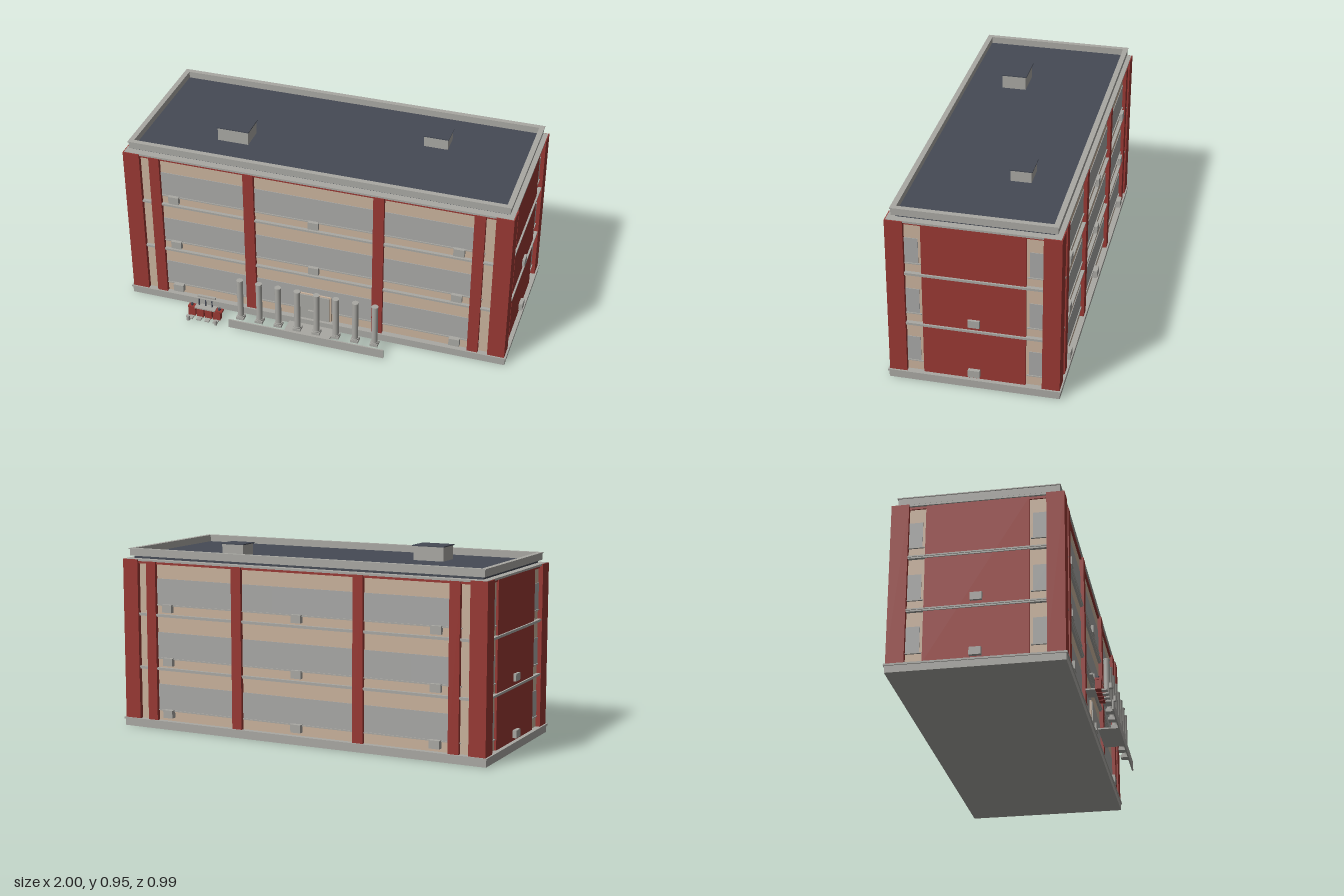
import * as THREE from 'three';

const mat = (name, color) => {
  const m = new THREE.MeshStandardMaterial({ color });
  m.name = name;
  return m;
};

export function createModel() {
  const brick = mat('brick red', 0x983833);
  const stucco = mat('tan stucco', 0xc9b29c);
  const stone = mat('grey stone', 0xa9a8a3);
  const glass = mat('window grey', 0xa8a8a6);
  const slate = mat('dark slate', 0x454a55);

  const model = new THREE.Group();
  model.name = 'building';
  const CZ = -0.08; // centre of the block in z

  // Box given by its min and max on each axis
  const box = (name, m, x0, x1, y0, y1, z0, z1, parent = model) => {
    const mesh = new THREE.Mesh(new THREE.BoxGeometry(x1 - x0, y1 - y0, z1 - z0), m);
    mesh.position.set((x0 + x1) / 2, (y0 + y1) / 2, (z0 + z1) / 2);
    mesh.name = name;
    parent.add(mesh);
    return mesh;
  };
  const cyl = (name, m, r, x, y0, y1, z, parent = model) => {
    const mesh = new THREE.Mesh(new THREE.CylinderGeometry(r, r, y1 - y0, 20), m);
    mesh.position.set(x, (y0 + y1) / 2, z);
    mesh.name = name;
    parent.add(mesh);
    return mesh;
  };

  // Plinth and main walls
  box('plinth', stone, -0.995, 0.995, 0, 0.034, CZ - 0.412, CZ + 0.412);
  box('plinthCap', stone, -1, 1, 0.034, 0.043, CZ - 0.417, CZ + 0.417);
  box('walls', stucco, -0.968, 0.968, 0.043, 0.855, CZ - 0.388, CZ + 0.388);

  // Corner pillars
  for (const sx of [-1, 1]) for (const sz of [-1, 1]) {
    const x = sx * 0.948, z = CZ + sz * 0.3675;
    box('cornerPillar', brick, x - 0.043, x + 0.043, 0.043, 0.862, z - 0.0425, z + 0.0425);
  }

  // Long facades, built facing +z and turned for the back
  const floors = [0.098, 0.365, 0.638];
  const ledges = [0.31, 0.584];
  const makeLongFacade = (name) => {
    const f = new THREE.Group();
    f.name = name;
    for (const x of [-0.828, -0.333, 0.333, 0.828])
      box('pilaster', brick, x - 0.027, x + 0.027, 0.043, 0.855, 0.38, 0.408, f);
    box('topBand', brick, -0.905, 0.905, 0.842, 0.855, 0.38, 0.398, f);
    for (const y of floors) {
      // three bays, each split into panes
      for (const [a, b] of [[-0.801, -0.36], [-0.306, 0.306], [0.36, 0.801]]) {
        const cuts = [a, a + (b - a) * 0.28, a + (b - a) * 0.56, b];
        for (let i = 0; i < 3; i++)
          box('window', glass, cuts[i], cuts[i + 1], y, y + 0.132, 0.386, 0.391, f);
      }
      box('windowSill', stone, -0.86, 0.86, y - 0.005, y + 0.001, 0.386, 0.396, f);
      const out = y < 0.2 ? 0.416 : 0.409;
      for (const x of [-0.735, 0, 0.735])
        box('coolerUnit', stone, x - 0.027, x + 0.027, y - 0.037, y + 0.003, 0.386, out, f);
    }
    for (const y of ledges) {
      box('ledge', stone, -0.905, 0.905, y - 0.001, y + 0.006, 0.38, 0.405, f);
      box('ledgeUnder', stone, -0.905, 0.905, y - 0.008, y - 0.001, 0.38, 0.4, f);
    }
    f.position.z = CZ;
    model.add(f);
    return f;
  };
  makeLongFacade('frontFacade');
  makeLongFacade('backFacade').rotation.y = Math.PI;

  // Short end facades, mirrored left and right
  for (const s of [-1, 1]) {
    const f = new THREE.Group();
    f.name = s > 0 ? 'leftEnd' : 'rightEnd';
    const plate = (name, m, z0, z1, y0, y1, x1) =>
      box(name, m, Math.min(s * 0.96, s * x1), Math.max(s * 0.96, s * x1), y0, y1, z0, z1, f);
    plate('brickPanel', brick, CZ - 0.245, CZ + 0.245, 0.043, 0.855, 0.979);
    plate('topBand', brick, CZ - 0.325, CZ + 0.325, 0.842, 0.855, 0.975);
    for (const y of floors) for (const sz of [-1, 1]) {
      const a = CZ + sz * 0.26, b = CZ + sz * 0.325, c = CZ + sz * 0.25;
      plate('endWindow', glass, Math.min(a, b), Math.max(a, b), y, y + 0.132, 0.971);
      plate('endSill', stone, Math.min(c, b), Math.max(c, b), y - 0.004, y + 0.001, 0.976);
    }
    for (const y of ledges) {
      plate('ledge', stone, CZ - 0.325, CZ + 0.325, y - 0.001, y + 0.006, 0.988);
      plate('ledgeUnder', stone, CZ - 0.325, CZ + 0.325, y - 0.008, y - 0.001, 0.984);
    }
    for (const [y, out] of [[0.058, 0.998], [0.335, 0.992]])
      plate('coolerUnit', stone, CZ - 0.028, CZ + 0.028, y, y + 0.038, out);
    model.add(f);
  }

  // Cornice, roof and parapet
  box('cornice', stone, -0.986, 0.986, 0.854, 0.864, CZ - 0.405, CZ + 0.405);
  box('roofDeck', slate, -0.95, 0.95, 0.864, 0.88, CZ - 0.367, CZ + 0.367);
  for (const s of [-1, 1]) {
    const z0 = CZ + s * 0.365, z1 = CZ + s * 0.385;
    box('parapet', stone, -0.965, 0.965, 0.877, 0.912, Math.min(z0, z1), Math.max(z0, z1));
    box('parapetCap', stone, -0.97, 0.97, 0.91, 0.915, CZ + s * 0.376 - 0.013, CZ + s * 0.376 + 0.013);
    box('parapet', stone, s * 0.955 - 0.01, s * 0.955 + 0.01, 0.877, 0.912, CZ - 0.365, CZ + 0.365);
    box('parapetCap', stone, s * 0.957 - 0.013, s * 0.957 + 0.013, 0.91, 0.915, CZ - 0.363, CZ + 0.363);
  }

  // Rooftop vents
  for (const [x, z, w, d, top] of [[-0.49, 0.042, 0.16, 0.122, 0.955], [0.485, -0.205, 0.122, 0.1, 0.941]]) {
    box('roofVent', stone, x - w / 2, x + w / 2, 0.88, top - 0.005, z - d / 2, z + d / 2);
    box('roofVentCap', slate, x - w / 2 - 0.005, x + w / 2 + 0.005, top - 0.005, top, z - d / 2 - 0.005, z + d / 2 + 0.005);
  }

  // Entrance: doors, porch slab, front step and colonnade
  box('doorFrame', stucco, -0.092, 0.092, 0.043, 0.195, 0.308, 0.32);
  for (const s of [-1, 1])
    box('door', stone, s * 0.042 - 0.041, s * 0.042 + 0.041, 0.045, 0.19, 0.31, 0.325);
  box('porchSlab', stone, -0.12, 0.12, 0.024, 0.031, 0.355, 0.46);
  box('frontStep', stone, -0.41, 0.41, 0.002, 0.05, 0.459, 0.466);
  for (let i = 0; i < 8; i++) {
    const x = -0.354 + i * 0.1012, z = 0.431;
    box('columnBase', stone, x - 0.02, x + 0.02, 0.05, 0.064, z - 0.02, z + 0.02);
    cyl('columnFoot', stone, 0.019, x, 0.064, 0.071, z);
    cyl('column', stone, 0.0155, x, 0.071, 0.283, z);
    cyl('columnTop', stone, 0.017, x, 0.28, 0.287, z);
  }

  // Small street stand beside the entrance
  const stand = new THREE.Group();
  stand.name = 'streetStand';
  for (let i = 0; i < 4; i++) {
    const x = -0.622 + i * 0.045;
    box('redPanel', brick, x - 0.019, x + 0.019, 0.008, 0.056, 0.41, 0.438, stand);
    box('panelFoot', stone, x - 0.012, x + 0.012, 0.003, 0.01, 0.438, 0.465, stand);
  }
  box('standTop', stone, -0.61, -0.495, 0.056, 0.063, 0.406, 0.438, stand);
  for (const x of [-0.625, -0.475]) {
    box('standEnd', brick, x - 0.018, x + 0.018, 0.055, 0.064, 0.408, 0.438, stand);
    cyl('endPost', slate, 0.007, x, 0.06, 0.075, 0.423, stand);
    cyl('bollard', stone, x < -0.5 ? 0.01 : 0.007, x, 0.012, 0.038, 0.482, stand);
  }
  box('lowShelf', stone, -0.6, -0.51, 0.024, 0.031, 0.36, 0.405, stand);
  box('signBoard', stone, -0.605, -0.508, 0.098, 0.107, 0.38, 0.394, stand);
  for (const x of [-0.59, -0.555, -0.52])
    box('signPost', slate, x - 0.003, x + 0.003, 0.063, 0.1, 0.408, 0.412, stand);
  model.add(stand);

  return model;
}
